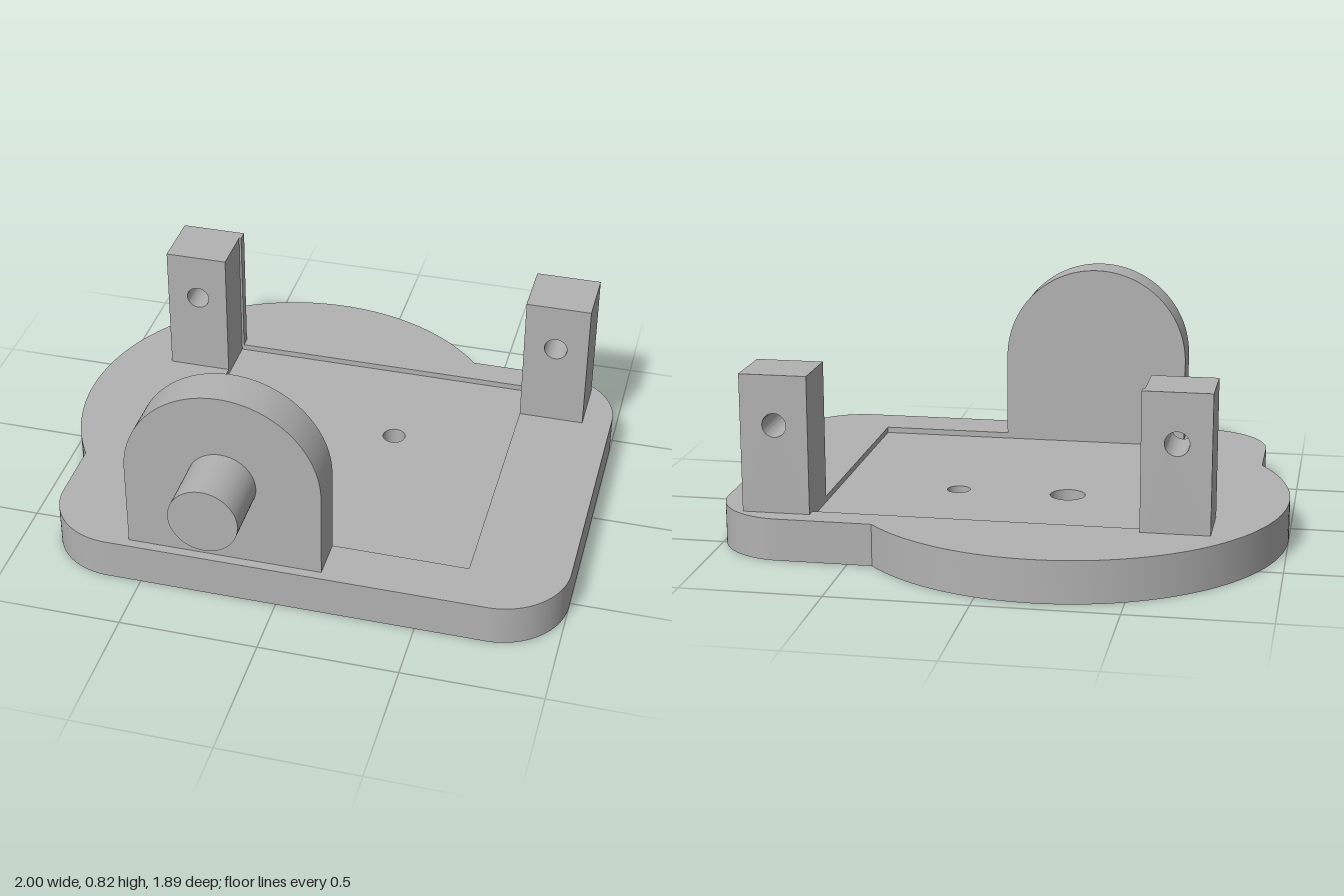
import * as THREE from 'three';
import { toCreasedNormals } from 'three/addons/utils/BufferGeometryUtils.js';

const PI = Math.PI;
const FLOOR = 0.13;   // floor of the shallow pocket
const TOP = 0.152;    // top of the base
const AXIS_X = -0.195; // shared centre of disc, tab and boss
const AXIS_Y = 0.47;   // height of boss and post holes

export function createModel() {
  const model = new THREE.Group();
  const grey = new THREE.MeshStandardMaterial({ color: 0xb2b2b2 });
  grey.name = 'plain grey';

  const add = (name, geometry) => {
    const mesh = new THREE.Mesh(geometry, grey);
    mesh.name = name;
    model.add(mesh);
    return mesh;
  };
  const extrude = (shape, depth) => toCreasedNormals(
    new THREE.ExtrudeGeometry(shape, { depth, bevelEnabled: false, curveSegments: 40 }), 0.5);
  const rect = (x0, y0, x1, y1, Type = THREE.Shape) =>
    new Type().moveTo(x0, y0).lineTo(x1, y0).lineTo(x1, y1).lineTo(x0, y1).closePath();
  const hole = (x, y, r) => new THREE.Path().absarc(x, y, r, 0, 2 * PI, true);

  // Base outline: rounded rectangle merged with a large disc (shape y is -z)
  const baseOutline = () => {
    const r = 0.25, cy = 0.14, R = 0.805;
    const left = -0.875, right = 1, front = -0.77, back = 0.67;
    const a0 = Math.asin((back - cy) / R);
    const a1 = PI + Math.acos((AXIS_X - left) / R);
    const s = new THREE.Shape();
    s.moveTo(left + r, front);
    s.absarc(right - r, front + r, r, -PI / 2, 0, false);
    s.absarc(right - r, back - r, r, 0, PI / 2, false);
    s.absarc(AXIS_X, cy, R, a0, a1, false);
    s.absarc(left + r, front + r, r, PI, 1.5 * PI, false);
    return s;
  };

  // Lower layer with all three through holes
  const lower = baseOutline();
  lower.holes.push(hole(-0.6, 0.14, 0.042), hole(AXIS_X, 0.14, 0.064), hole(0.21, 0.14, 0.042));
  add('baseFloor', extrude(lower, FLOOR).rotateX(-PI / 2));

  // Upper layer with the rectangular pocket
  const upper = baseOutline();
  upper.holes.push(hole(-0.6, 0.14, 0.042), rect(-0.52, -0.583, 0.65, 0.56, THREE.Path));
  add('baseRim', extrude(upper, TOP - FLOOR).rotateX(-PI / 2)).position.y = FLOOR;

  // Rear posts with a cross hole
  const post = (name, x0, x1, holeX) => {
    const s = rect(x0, TOP, x1, 0.65);
    s.holes.push(hole(holeX, AXIS_Y, 0.043));
    add(name, extrude(s, 0.225)).position.z = -0.6;
  };
  post('rightPost', -0.755, -0.52, -0.635);
  post('leftPost', 0.65, 0.892, 0.77);

  // Narrow lip left where the pocket cuts the right post
  add('postLip', new THREE.BoxGeometry(0.008, 0.65 - TOP, 0.04))
    .position.set(-0.516, (0.65 + TOP) / 2, -0.58);

  // Round-topped front tab
  const tab = new THREE.Shape();
  tab.moveTo(AXIS_X - 0.353, TOP);
  tab.lineTo(AXIS_X + 0.353, TOP);
  tab.absarc(AXIS_X, AXIS_Y, 0.353, 0, PI, false);
  tab.closePath();
  add('frontTab', extrude(tab, 0.152)).position.z = 0.583;

  // Boss projecting forward from the tab
  add('boss', new THREE.CylinderGeometry(0.123, 0.123, 0.215, 64).rotateX(PI / 2))
    .position.set(AXIS_X, AXIS_Y, 0.8425);

  return model;
}
